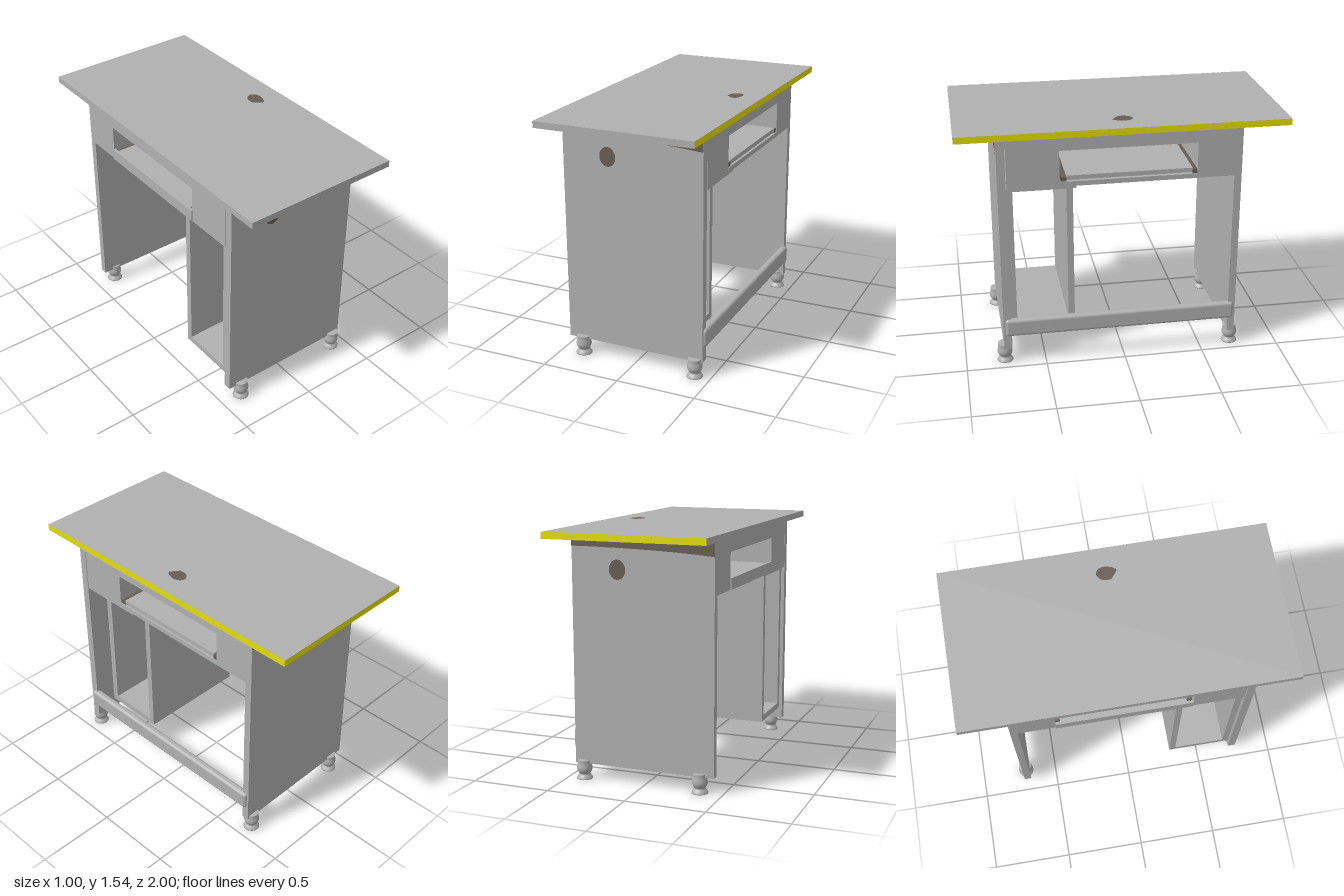
import * as THREE from 'three';
import { RoundedBoxGeometry } from 'three/addons/geometries/RoundedBoxGeometry.js';

export function createModel() {
  const desk = new THREE.Group();
  desk.name = 'desk';
  const mat = (name, color) => {
    const m = new THREE.MeshStandardMaterial({ color });
    m.name = name;
    return m;
  };
  const grey = mat('grey board', 0xb0b0b0);
  const yellow = mat('yellow edging', 0xe6e000);
  const dark = mat('dark brown', 0x665e55);

  const add = (name, geometry, material, x = 0, y = 0, z = 0) => {
    const mesh = new THREE.Mesh(geometry, material);
    mesh.name = name;
    mesh.position.set(x, y, z);
    desk.add(mesh);
    return mesh;
  };
  // Board given by its limits on each axis
  const board = (name, [x0, x1], [y0, y1], [z0, z1], material = grey) =>
    add(name, new THREE.BoxGeometry(x1 - x0, y1 - y0, z1 - z0), material,
      (x0 + x1) / 2, (y0 + y1) / 2, (z0 + z1) / 2);

  // Worktop, edged in yellow on one long and one short side
  board('worktop', [-0.5, 0.5], [1.5, 1.54], [-1, 1], [yellow, grey, grey, grey, grey, yellow]);

  // Cable hole patch on the worktop
  const patch = new THREE.Shape();
  patch.moveTo(-0.045, 0.01);
  patch.quadraticCurveTo(-0.04, 0.06, 0.005, 0.068);
  patch.quadraticCurveTo(0.045, 0.06, 0.045, 0.01);
  patch.quadraticCurveTo(0.035, -0.05, 0.01, -0.058);
  patch.lineTo(-0.042, -0.018);
  add('worktopCableHole', new THREE.ShapeGeometry(patch), dark, 0.33, 1.543, 0).rotation.x = -Math.PI / 2;

  // Side panels with a curved dark band and a round cable hole
  board('leftSidePanel', [-0.45, 0.45], [0.1, 1.5], [0.71, 0.76]);
  board('rightSidePanel', [-0.45, 0.45], [0.1, 1.5], [-0.72, -0.675]);
  const band = new THREE.Shape();
  band.moveTo(-0.45, 1.5);
  band.lineTo(-0.45, 1.435);
  band.quadraticCurveTo(0.1, 1.437, 0.45, 1.405);
  band.lineTo(0.45, 1.5);
  for (const [z, turn, dir] of [[0.763, 0, 1], [-0.723, Math.PI, -1]]) {
    add('panelBand', new THREE.ShapeGeometry(band), dark, 0, 0, z).rotation.y = turn;
    const hole = add('panelCableHole', new THREE.CircleGeometry(0.052, 32), dark, -0.155 * dir, 1.305, z);
    hole.scale.y = 1.15;
    hole.rotation.y = turn;
  }

  // Rails under the worktop on both long sides
  for (const s of [1, -1]) {
    const x = s > 0 ? [0.41, 0.45] : [-0.45, -0.41];
    board('topRail', x, [1.44, 1.5], [-0.675, 0.71]);
    board('lowerRail', x, [1.405, 1.44], [-0.445, 0.39]);
  }

  // Cabinets at both ends of the keyboard bay
  board('leftCabinet', [-0.45, 0.45], [1.175, 1.44], [0.39, 0.705]);
  board('rightCabinet', [-0.45, 0.45], [1.18, 1.44], [-0.675, -0.445]);

  // Keyboard shelf, sliding tray and runners
  board('keyboardShelf', [-0.45, 0.452], [1.18, 1.21], [-0.445, 0.39]);
  board('keyboardTray', [-0.44, 0.445], [1.217, 1.245], [-0.415, 0.35]);
  board('trayLip', [-0.457, -0.44], [1.18, 1.25], [-0.445, 0.39]);
  for (const z of [[0.35, 0.385], [-0.445, -0.415]])
    board('trayRunner', [-0.43, 0.445], [1.21, 1.235], z, dark);

  // Open computer compartment
  board('compartmentTop', [-0.43, 0.44], [1.16, 1.175], [0.29, 0.71]);
  board('compartmentBottom', [-0.43, 0.31], [0.175, 0.215], [0.295, 0.705]);
  for (const z of [[0.295, 0.335], [0.663, 0.705]])
    board('compartmentSide', [-0.43, 0.31], [0.215, 1.16], z);

  // Rounded foot rest
  add('footRest', new RoundedBoxGeometry(0.05, 0.115, 1.455, 4, 0.02), grey, 0.443, 0.253, 0.02);

  // Turned feet
  const profile = new THREE.SplineCurve([
    [0.05, 0.004], [0.044, 0.015], [0.033, 0.03], [0.04, 0.042],
    [0.047, 0.06], [0.046, 0.08], [0.042, 0.1], [0.042, 0.122],
  ].map(([r, y]) => new THREE.Vector2(r, y))).getPoints(20);
  const footGeometry = new THREE.LatheGeometry(
    [new THREE.Vector2(0, 0), new THREE.Vector2(0.05, 0), ...profile, new THREE.Vector2(0, 0.122)], 32);
  for (const x of [-0.357, 0.398])
    for (const z of [0.755, -0.705]) add('foot', footGeometry, grey, x, 0, z);

  return desk;
}
